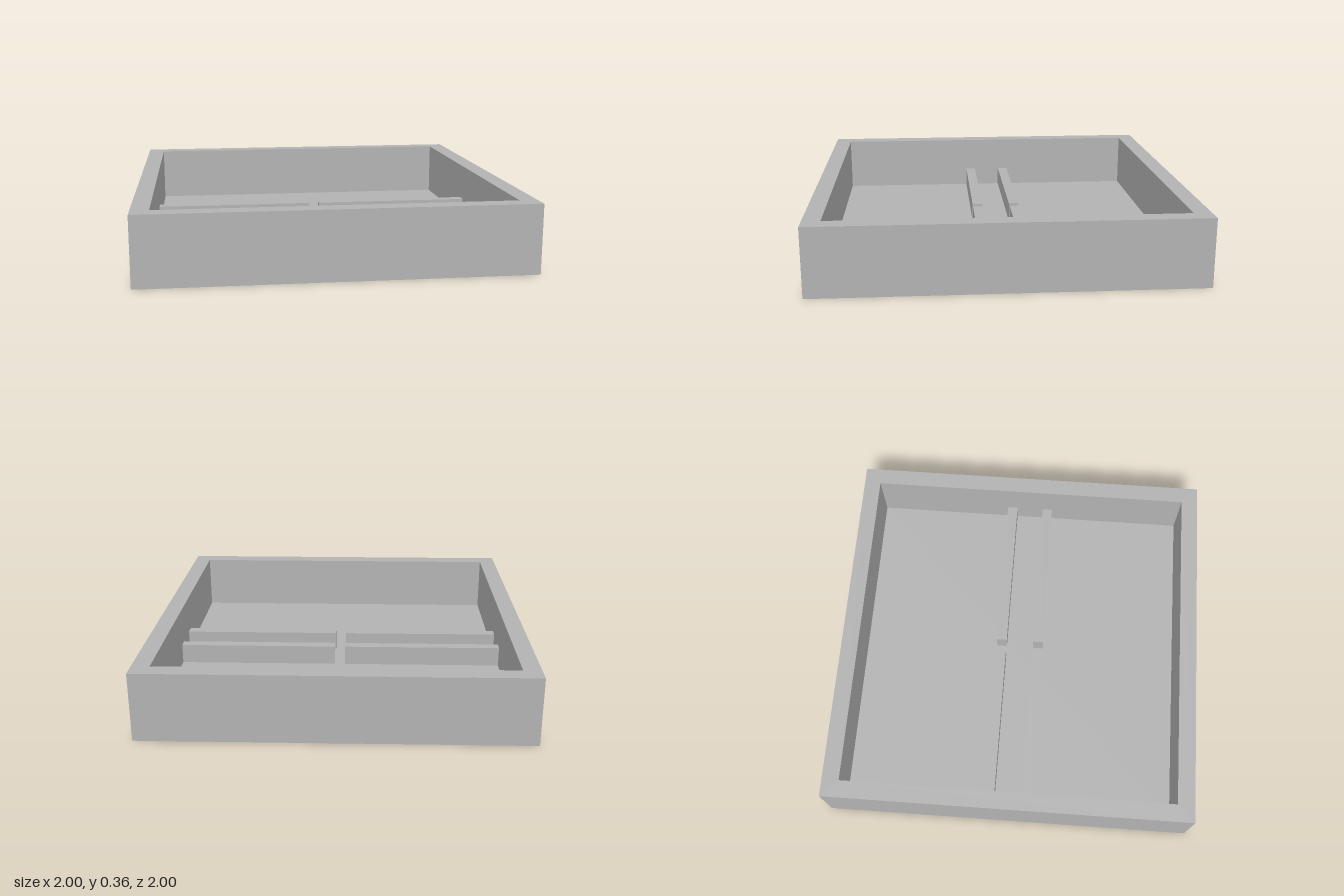
import * as THREE from 'three';

export function createModel() {
  const group = new THREE.Group();
  const grey = new THREE.MeshStandardMaterial({ color: 0xb2b2b2 });
  const inner = 0.907, floorY = 0.055, height = 0.36;

  const square = (Type, s) => new Type([
    new THREE.Vector2(-s, -s), new THREE.Vector2(s, -s),
    new THREE.Vector2(s, s), new THREE.Vector2(-s, s),
  ]);

  // Square rim wall, full height
  const wall = square(THREE.Shape, 1);
  wall.holes.push(square(THREE.Path, inner));
  const wallGeometry = new THREE.ExtrudeGeometry(wall, { depth: height, bevelEnabled: false });
  wallGeometry.rotateX(-Math.PI / 2);
  const walls = new THREE.Mesh(wallGeometry, grey);
  walls.name = 'outerWalls';
  group.add(walls);

  // Floor panel inside the walls
  const floor = new THREE.Mesh(new THREE.BoxGeometry(inner * 2, floorY, inner * 2), grey);
  floor.name = 'floor';
  floor.position.y = floorY / 2;
  group.add(floor);

  // Two pairs of low ribs with a narrow gap in the middle
  const ribTop = 0.162, gap = 0.029, ribLength = inner - gap;
  const ribGeometry = new THREE.BoxGeometry(ribLength, ribTop - floorY, 0.058);
  for (const [side, label] of [[1, 'left'], [-1, 'right']]) {
    for (const [end, place] of [[1, 'Front'], [-1, 'Back']]) {
      const rib = new THREE.Mesh(ribGeometry, grey);
      rib.name = `${label}${place}Rib`;
      rib.position.set(side * (gap + ribLength / 2), (ribTop + floorY) / 2, end * 0.107);
      group.add(rib);
    }
  }
  return group;
}
